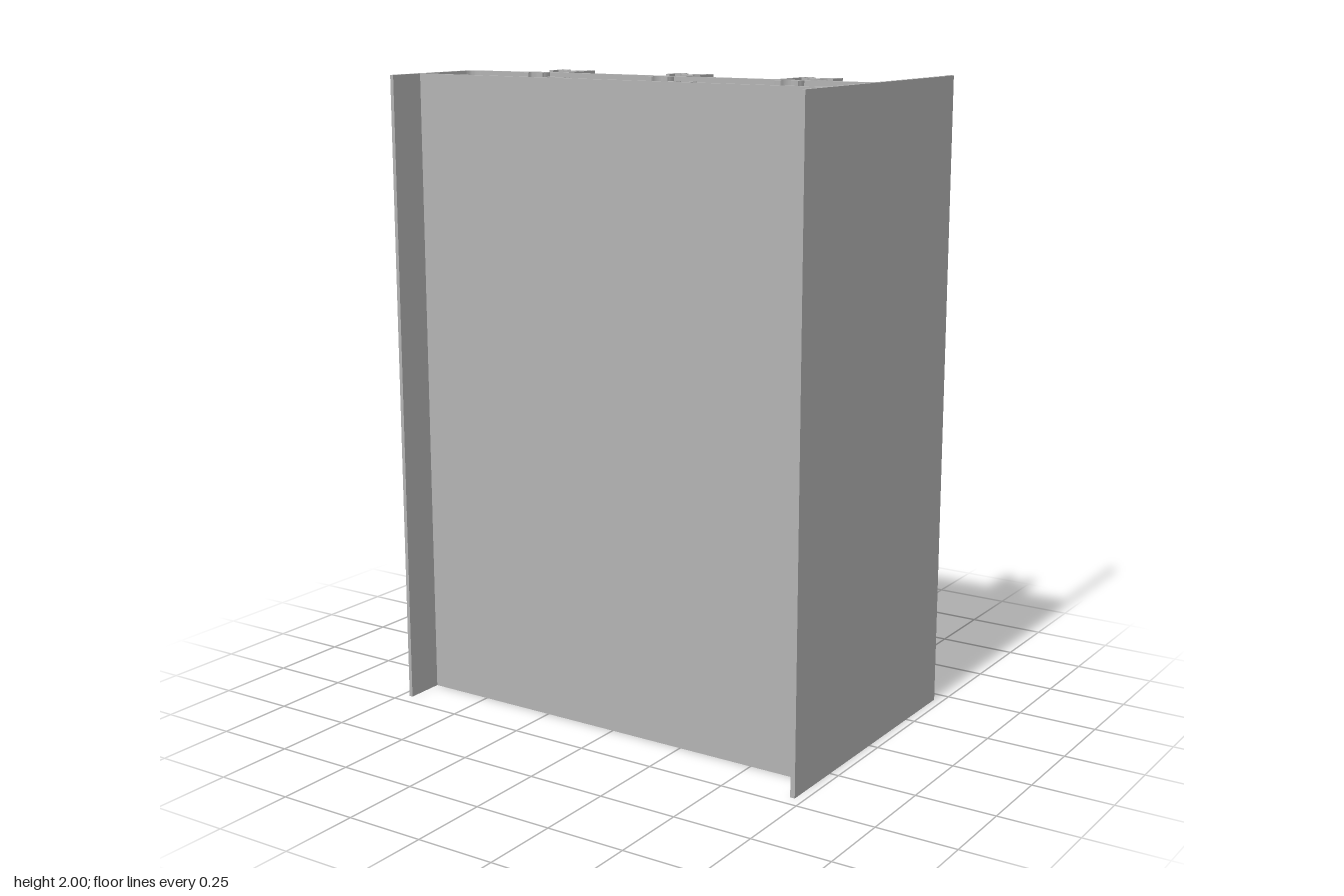
import * as THREE from 'three';
import { toCreasedNormals } from 'three/addons/utils/BufferGeometryUtils.js';

const HEIGHT = 2;
const U = 0.003868; // fine unit used for the small clip details

export function createModel() {
  const group = new THREE.Group();
  const metal = new THREE.MeshStandardMaterial({ color: 0xb3b3b3 });
  metal.name = 'grey metal';

  // Extrude a plan outline of [x, z] points up to full height
  function prism(name, points, parent = group) {
    const shape = new THREE.Shape(points.map(([x, z]) => new THREE.Vector2(x, -z)));
    const flat = new THREE.ExtrudeGeometry(shape, { depth: HEIGHT, bevelEnabled: false });
    flat.rotateX(-Math.PI / 2);
    const mesh = new THREE.Mesh(toCreasedNormals(flat, 0.6), metal);
    mesh.name = name;
    parent.add(mesh);
    return mesh;
  }

  // Thicken a centreline into a mitred closed outline
  function strip(path, thickness) {
    const pts = path.map(([x, z]) => new THREE.Vector2(x, z));
    const left = [], right = [];
    pts.forEach((p, i) => {
      const a = pts[Math.max(i - 1, 0)], b = pts[Math.min(i + 1, pts.length - 1)];
      const d0 = (i ? p.clone().sub(a) : b.clone().sub(p)).normalize();
      const d1 = (i < pts.length - 1 ? b.clone().sub(p) : d0.clone()).normalize();
      const n0 = new THREE.Vector2(-d0.y, d0.x), n1 = new THREE.Vector2(-d1.y, d1.x);
      const m = n0.clone().add(n1).normalize();
      m.multiplyScalar(thickness / 2 / Math.max(m.dot(n0), 0.5));
      left.push([p.x + m.x, p.y + m.y]);
      right.unshift([p.x - m.x, p.y - m.y]);
    });
    return left.concat(right);
  }

  const rect = (x0, x1, z0, z1) => [[x0, z0], [x1, z0], [x1, z1], [x0, z1]];

  // Long side wall with a rounded bead along its rear edge
  prism('sideWall', rect(0.707, 0.722, -0.452, 0.459));
  const bead = new THREE.Mesh(new THREE.CylinderGeometry(0.012, 0.012, HEIGHT, 20), metal);
  bead.name = 'edgeBead';
  bead.position.set(0.71, HEIGHT / 2, -0.449);
  group.add(bead);

  // Front plate and the short flange beside it
  prism('frontPlate', rect(-0.715, 0.712, 0.321, 0.335));
  prism('frontFlange', rect(-0.722, -0.71, 0.32, 0.459));

  // Far wall, rounded corner, sloped panel, step and back plate in one strip
  const shell = [[-0.715, 0.328]];
  for (let i = 0; i <= 8; i++) {
    const a = (i / 8) * Math.PI / 2;
    shell.push([-0.68 - 0.035 * Math.cos(a), 0.115 - 0.035 * Math.sin(a)]);
  }
  shell.push([-0.5, 0.07], [-0.487, 0.065], [-0.472, 0.051], [-0.455, 0.045], [0.712, 0.045]);
  prism('backShell', strip(shell, 0.014));

  // Inside corner fillets: corner x, z and directions into the chamber
  for (const [x, z, sx, sz] of [[-0.709, 0.322, 1, -1], [0.708, 0.322, -1, -1],
    [0.708, 0.051, -1, 1], [0.708, 0.039, -1, -1]]) {
    const r = sz < 0 && z < 0.1 ? 0.01 : 0.02;
    const pts = [[x, z]];
    for (let i = 0; i <= 5; i++) {
      const a = (i / 5) * Math.PI / 2;
      pts.push([x + sx * r * (1 - Math.sin(a)), z + sz * r * (1 - Math.cos(a))]);
    }
    prism('cornerFillet', pts);
  }

  // Screw ports: two facing claws standing on a plate
  const claw = [[0, -0.5], [8.5, -0.5], [10, 3], [10.3, 5.5], [8.9, 8.2], [10.4, 10.5],
    [10.2, 11.8], [9.2, 12.3], [4.4, 12.3], [3.8, 11], [6, 8.8], [6.8, 6.3], [6, 3.8],
    [3.5, 1.7], [0, 0.5]];
  function screwPort(x, z, dir) {
    const port = new THREE.Group();
    port.name = 'screwPort';
    for (const side of [-1, 1]) {
      prism('claw', claw.map(([u, v]) => [x + side * u * U, z + dir * v * U]), port);
    }
    group.add(port);
  }
  for (const x of [-0.457, 0.008, 0.4545]) screwPort(x, 0.05, 1);
  for (const x of [-0.2165, 0.23]) screwPort(x, 0.324, -1);

  // Clip rails: post, hanging lip and a bowl-shaped web between them
  const post = [[15.7, 13], [15.7, -30], [14.3, -31.8], [10.8, -31.8], [9.8, -29.5]];
  const lip = [[-15.7, -15], [-15.7, -30], [-14.3, -31.8], [-10.8, -31.8], [-9.8, -29.5]];
  const halfWeb = [[-15.7, -24.2], [-8, -24.2], [-6, -22.5], [-5, -19.8], [-2.8, -17.7]];
  const web = [...halfWeb, [0, -17], ...halfWeb.map(([u, v]) => [-u, v]).reverse()];
  function clipRail(x, side) {
    const rail = new THREE.Group();
    rail.name = 'clipRail';
    const add = (name, path, t) =>
      prism(name, strip(path.map(([u, v]) => [x + side * u * U, v * U]), t * U), rail);
    add('railPost', post, 3.6);
    add('railLip', lip, 3.6);
    add('railWeb', web, 2.8);
    for (const s of [-1, 1]) add('webHorn', [[s * 8.6, -23.5], [s * 7.8, -26.5], [s * 5.6, -28.8]], 2.8);
    group.add(rail);
  }
  clipRail(-0.4395, 1);
  clipRail(0.0077, 1);
  clipRail(0.4545, -1);

  return group;
}
